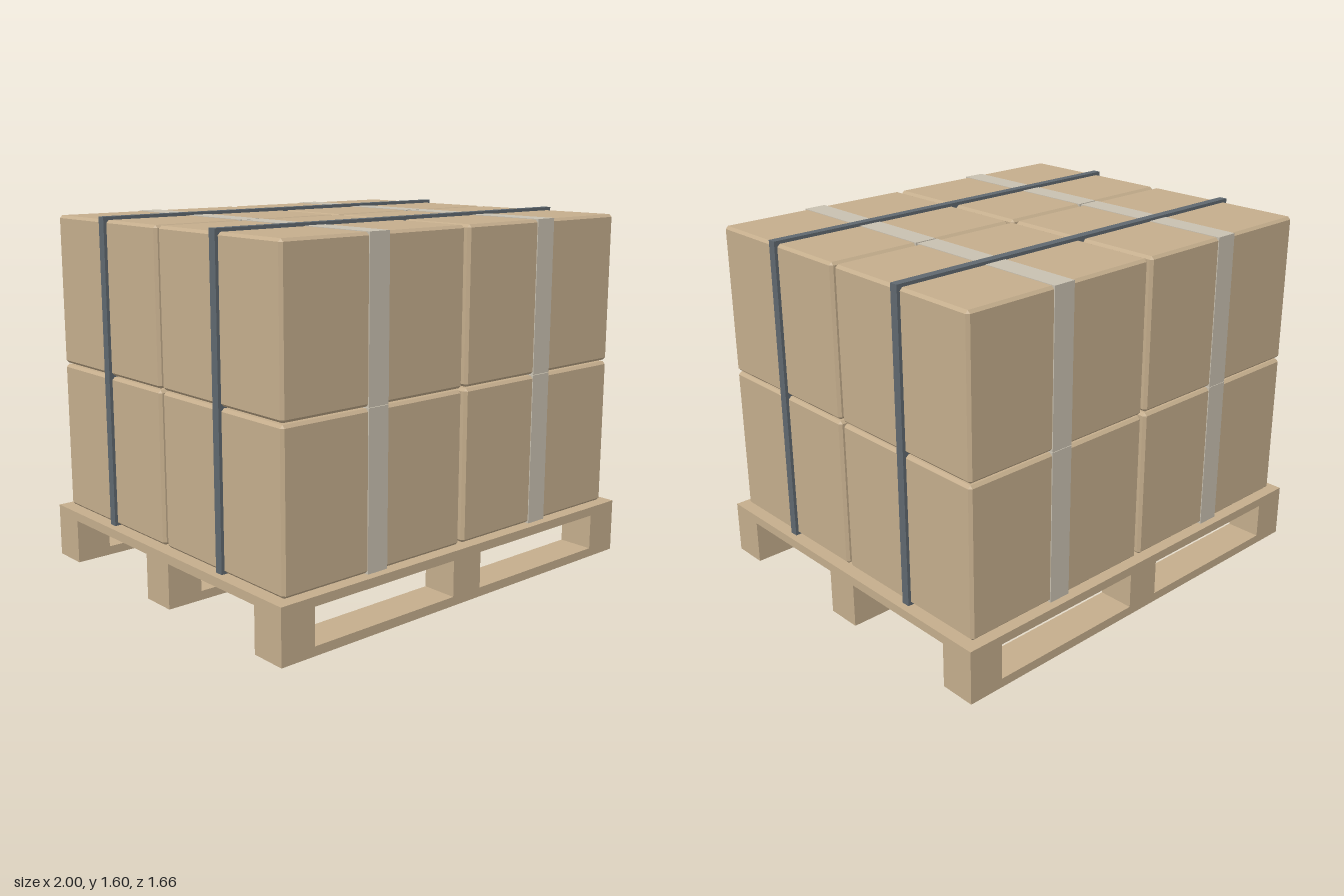
import * as THREE from 'three';
import { ConvexGeometry } from 'three/addons/geometries/ConvexGeometry.js';

const material = (name, color) => {
  const m = new THREE.MeshStandardMaterial({ color });
  m.name = name;
  return m;
};

// Box with every edge cut by a flat chamfer
function chamferedBox(w, h, d, c) {
  const points = [];
  for (const x of [-1, 1]) for (const y of [-1, 1]) for (const z of [-1, 1]) {
    for (let axis = 0; axis < 3; axis++) {
      points.push(new THREE.Vector3(
        x * (w / 2 - (axis === 0 ? 0 : c)),
        y * (h / 2 - (axis === 1 ? 0 : c)),
        z * (d / 2 - (axis === 2 ? 0 : c))));
    }
  }
  return new ConvexGeometry(points);
}

export function createModel() {
  const model = new THREE.Group();
  model.name = 'loadedPallet';
  const kraft = material('kraft brown', 0xc4ad8c);
  const tapeGrey = material('tape grey', 0xc8c0b0);
  const strapGrey = material('strap grey', 0x5f686f);

  const add = (parent, name, geometry, mat, x, y, z) => {
    const mesh = new THREE.Mesh(geometry, mat);
    mesh.name = name;
    mesh.position.set(x, y, z);
    parent.add(mesh);
  };

  // Pallet: deck on three skids, each with three blocks
  const pallet = new THREE.Group();
  pallet.name = 'pallet';
  model.add(pallet);
  add(pallet, 'deck', new THREE.BoxGeometry(2, 0.04, 1.66), kraft, 0, 0.22, 0);
  const skid = new THREE.BoxGeometry(2, 0.04, 0.163);
  const block = new THREE.BoxGeometry(0.163, 0.16, 0.163);
  for (const z of [-0.7485, 0, 0.7485]) {
    add(pallet, 'skid', skid, kraft, 0, 0.02, z);
    for (const x of [-0.9185, 0, 0.9185]) add(pallet, 'block', block, kraft, x, 0.12, z);
  }

  // Cartons: two layers of four, each with a band of tape running front to back
  const cartons = new THREE.Group();
  cartons.name = 'cartons';
  model.add(cartons);
  const carton = chamferedBox(0.946, 0.666, 0.782, 0.012);
  const tape = new THREE.BoxGeometry(0.104, 0.671, 0.79);
  for (const y of [0.577, 1.25]) {
    for (const x of [-0.483, 0.483]) {
      for (const z of [-0.4, 0.4]) {
        add(cartons, 'carton', carton, kraft, x, y, z);
        add(cartons, 'tape', tape, tapeGrey, x, y, z);
      }
    }
  }

  // Straps crossing the load from side to side
  const strap = new THREE.BoxGeometry(1.94, 1.356, 0.038);
  for (const z of [-0.4, 0.4]) add(model, 'strap', strap, strapGrey, 0, 0.919, z);

  return model;
}
